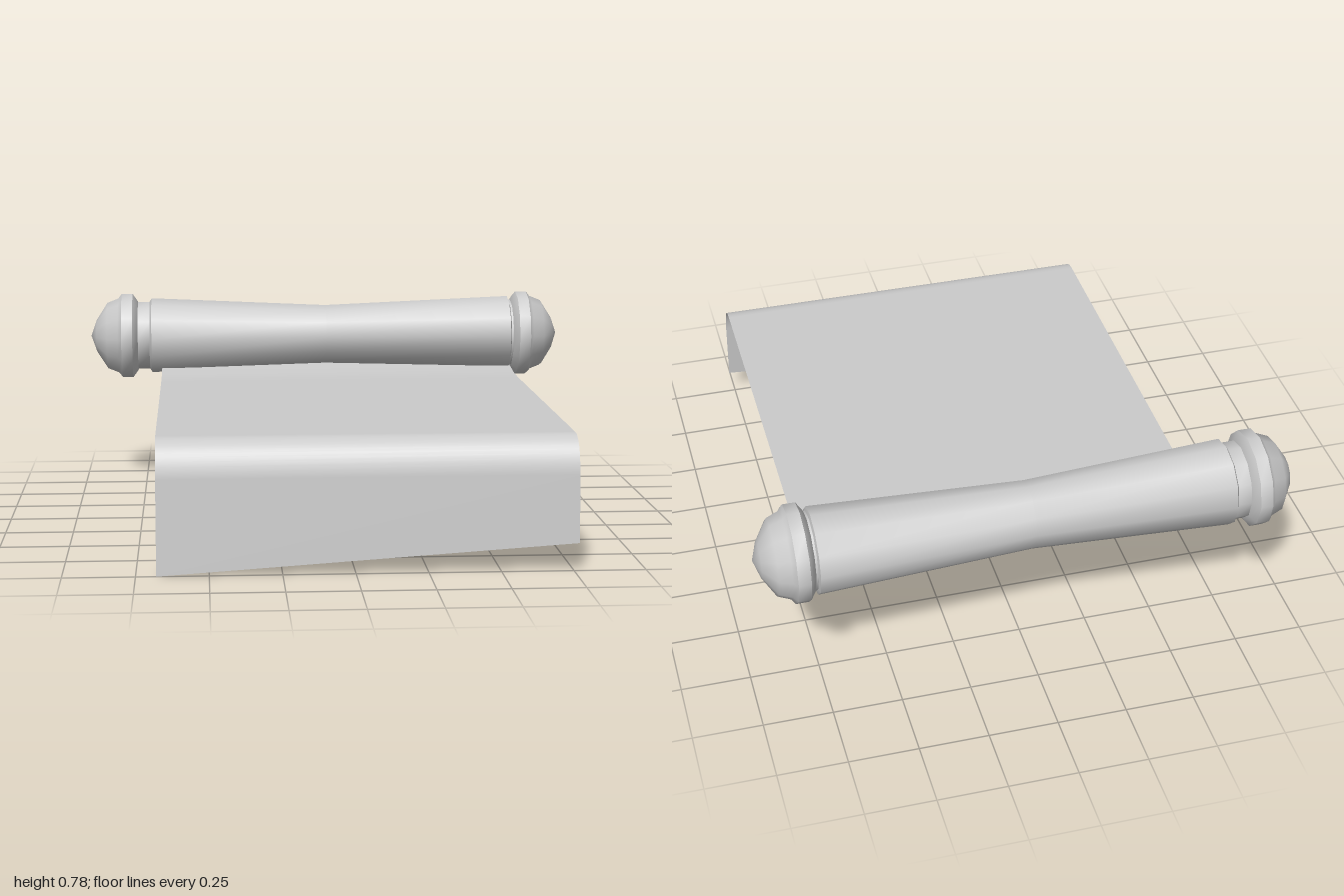
import * as THREE from 'three';
import { toCreasedNormals } from 'three/addons/utils/BufferGeometryUtils.js';

const material = new THREE.MeshStandardMaterial({ color: 0xcccccc });
const sheetMaterial = new THREE.MeshStandardMaterial({ color: 0xcccccc, side: THREE.DoubleSide });

// Twelve-sided turned part along x, from [x, radius] pairs in rising x
function turned(name, profile) {
  const points = profile.map(([x, r]) => new THREE.Vector2(r, x));
  const geometry = new THREE.LatheGeometry(points, 12).rotateZ(-Math.PI / 2);
  const mesh = new THREE.Mesh(toCreasedNormals(geometry, 0.8), material);
  mesh.name = name;
  return mesh;
}

// Sheet swept across x along a [z, y] path; its hanging end is cut at a slant
function sheetGeometry(leftX, rightX) {
  const bend = new THREE.QuadraticBezierCurve(
    new THREE.Vector2(0.86, 0.46), new THREE.Vector2(0.965, 0.46), new THREE.Vector2(0.978, 0.33));
  const path = [[-0.82, 0.485], [-0.72, 0.474], [-0.62, 0.463], [-0.5, 0.46], [0.2, 0.46],
    ...bend.getPoints(12).map(p => [p.x, p.y])];
  const rows = path.map(p => [p, p]);
  rows.push([[1, 0], [0.994, 0.095]]);
  const positions = [], index = [];
  rows.forEach(([a, b], i) => {
    positions.push(leftX, a[1], a[0], rightX, b[1], b[0]);
    if (i) {
      const k = i * 2;
      index.push(k - 2, k, k - 1, k, k + 1, k - 1);
    }
  });
  const geometry = new THREE.BufferGeometry();
  geometry.setAttribute('position', new THREE.Float32BufferAttribute(positions, 3));
  geometry.setIndex(index);
  geometry.computeVertexNormals();
  return geometry;
}

export function createModel() {
  const model = new THREE.Group();
  model.name = 'scroll';

  // Waisted roller with a knob at each end
  const roller = new THREE.Group();
  roller.name = 'roller';
  roller.position.set(0, 0.605, -0.827);
  roller.add(turned('rollerBody', [
    [-0.78, 0.14], [-0.73, 0.14], [-0.722, 0.155], [0, 0.122], [0.765, 0.155], [0.77, 0.14], [0.785, 0.14],
  ]));
  const knob = [
    [0.778, 0], [0.778, 0.142], [0.8, 0.174], [0.845, 0.174], [0.86, 0.155],
    [0.905, 0.137], [0.95, 0.066], [0.973, 0],
  ];
  roller.add(turned('leftKnob', knob));
  roller.add(turned('rightKnob', knob.map(([x, r]) => [-x, r]).reverse()));
  model.add(roller);

  // Unrolled sheet hanging over at the front
  const sheet = new THREE.Mesh(sheetGeometry(-0.68, 0.77), sheetMaterial);
  sheet.name = 'sheet';
  model.add(sheet);
  return model;
}
